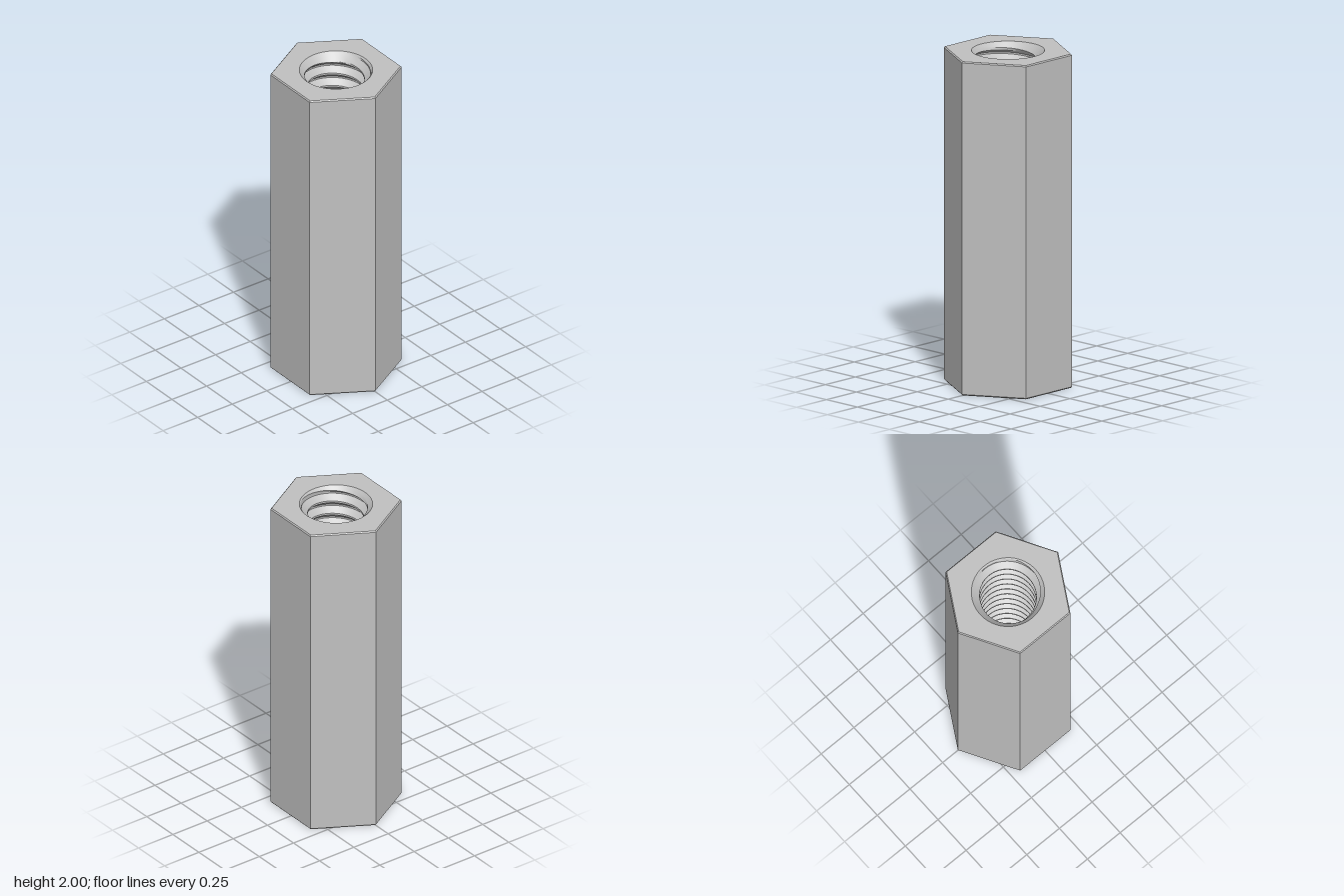
import * as THREE from 'three';
import { toCreasedNormals } from 'three/addons/utils/BufferGeometryUtils.js';

const HEIGHT = 2, HEX = 0.384, CHAMFER = 0.007;
const RIM = 0.213, MINOR = 0.165, MAJOR = 0.202, PITCH = 1 / 12;

// Bore radius: truncated V thread, opened by a 45 degree countersink at both ends
function boreRadius(y, turn) {
  const u = y / PITCH - turn - 0.56;
  const fromRoot = Math.abs(u - Math.round(u));
  const t = THREE.MathUtils.clamp((0.43 - fromRoot) / 0.37, 0, 1);
  const thread = MINOR + (MAJOR - MINOR) * t;
  return Math.max(thread, RIM - y, RIM - (HEIGHT - y));
}

// Right-handed helical grid; rows follow the thread and are clipped at the ends
function threadGeometry() {
  const around = 64;
  const phases = [0.06, 0.13, 0.31, 0.5, 0.62, 0.81, 0.99];
  const rows = [];
  for (let k = -2; k <= HEIGHT / PITCH + 1; k++) for (const p of phases) rows.push(k + p);
  const point = (row, i) => {
    const turn = i / around, a = turn * Math.PI * 2;
    const y = THREE.MathUtils.clamp((row + turn) * PITCH, 0, HEIGHT);
    const r = boreRadius(y, turn);
    return new THREE.Vector3(r * Math.cos(a), y, -r * Math.sin(a));
  };
  const pos = [];
  const tri = (a, b, c) => {
    if (a.y === b.y && b.y === c.y) return;
    for (const v of [a, b, c]) pos.push(v.x, v.y, v.z);
  };
  for (let j = 0; j < rows.length - 1; j++) {
    for (let i = 0; i < around; i++) {
      const a = point(rows[j], i), b = point(rows[j], i + 1);
      const c = point(rows[j + 1], i + 1), d = point(rows[j + 1], i);
      tri(a, c, b);
      tri(a, d, c);
    }
  }
  const geo = new THREE.BufferGeometry();
  geo.setAttribute('position', new THREE.Float32BufferAttribute(pos, 3));
  return toCreasedNormals(geo, 0.5);
}

export function createModel() {
  const group = new THREE.Group();
  group.name = 'threadedHexStandoff';
  const metal = new THREE.MeshStandardMaterial({ color: 0xc0c0c0 });
  metal.name = 'metal';

  const add = (name, geo) => {
    const mesh = new THREE.Mesh(geo, metal);
    mesh.name = name;
    group.add(mesh);
    return mesh;
  };

  // Hexagonal bands with corners on the x axis
  const band = (name, top, bottom, y0, y1) => {
    const geo = new THREE.CylinderGeometry(top, bottom, y1 - y0, 6, 1, true, Math.PI / 2);
    add(name, toCreasedNormals(geo, 0.3)).position.y = (y0 + y1) / 2;
  };
  band('hexSides', HEX, HEX, CHAMFER, HEIGHT - CHAMFER);
  band('topChamfer', HEX - CHAMFER, HEX, HEIGHT - CHAMFER, HEIGHT);
  band('bottomChamfer', HEX, HEX - CHAMFER, 0, CHAMFER);

  // End faces with round openings
  const face = new THREE.Shape();
  for (let i = 0; i < 6; i++) {
    const a = i * Math.PI / 3, r = HEX - CHAMFER;
    face[i ? 'lineTo' : 'moveTo'](r * Math.cos(a), r * Math.sin(a));
  }
  face.closePath();
  face.holes.push(new THREE.Path().absarc(0, 0, RIM, 0, Math.PI * 2, true));
  const faceGeo = new THREE.ShapeGeometry(face, 32);
  const top = add('topFace', faceGeo);
  top.rotation.x = -Math.PI / 2;
  top.position.y = HEIGHT;
  add('bottomFace', faceGeo).rotation.x = Math.PI / 2;

  // Threaded bore with countersunk ends
  add('threadedBore', threadGeometry());
  return group;
}
